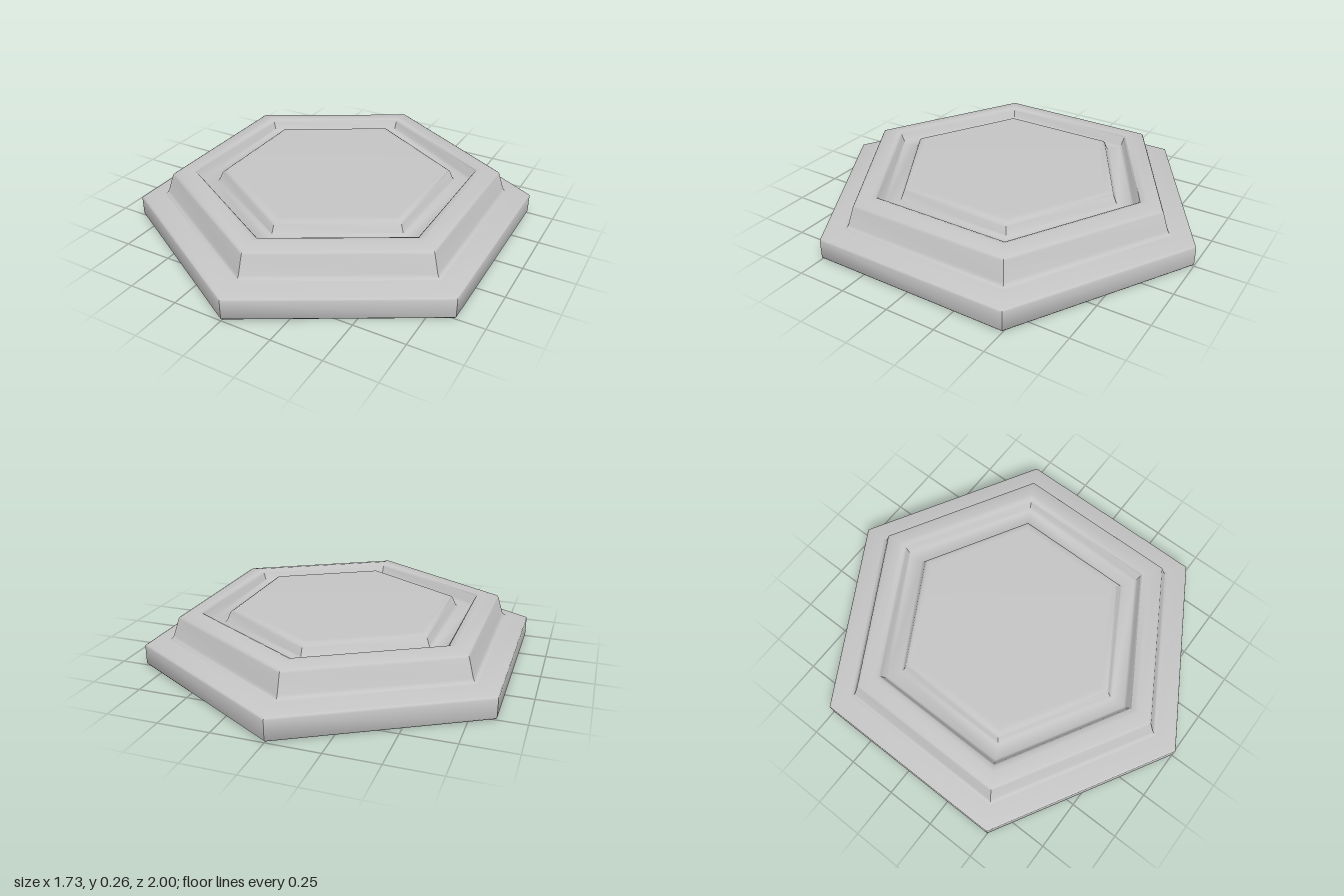
import * as THREE from 'three';
import { toCreasedNormals } from 'three/addons/utils/BufferGeometryUtils.js';

const SIDES = 6;

// Hexagonal ring or slab: a [corner radius, height] profile turned in six steps,
// with crisp corners between sides and soft edges along the profile.
function hexPart(name, profile, material) {
  const points = profile.map(([r, y]) => new THREE.Vector2(r, y));
  const lathe = new THREE.LatheGeometry(points, SIDES);
  const mesh = new THREE.Mesh(toCreasedNormals(lathe, 0.85), material);
  mesh.name = name;
  return mesh;
}

export function createModel() {
  const group = new THREE.Group();
  group.name = 'hexagonalPlate';
  const grey = new THREE.MeshStandardMaterial({ color: 0xc4c4c4 });
  grey.name = 'light grey';

  // Flat base slab with its ledge
  group.add(hexPart('base', [
    [0, 0], [0.97, 0], [0.992, 0.002], [1, 0.01],
    [1, 0.1], [0.997, 0.108], [0.985, 0.113], [0.88, 0.128],
  ], grey));

  // Sloping raised rim, from the ledge over to the groove
  group.add(hexPart('raisedRim', [
    [0.88, 0.128], [0.866, 0.134], [0.857, 0.148],
    [0.829, 0.232], [0.823, 0.242], [0.81, 0.248],
    [0.745, 0.26], [0.725, 0.26], [0.71, 0.254],
  ], grey));

  // Sunken groove between the rim and the centre
  group.add(hexPart('groove', [
    [0.71, 0.254], [0.703, 0.246], [0.687, 0.21], [0.675, 0.2],
    [0.605, 0.2], [0.593, 0.21], [0.576, 0.248], [0.568, 0.256],
  ], grey));

  // Flat raised centre panel
  group.add(hexPart('centrePanel', [
    [0.568, 0.256], [0.555, 0.262], [0.53, 0.263], [0, 0.263],
  ], grey));

  return group;
}
